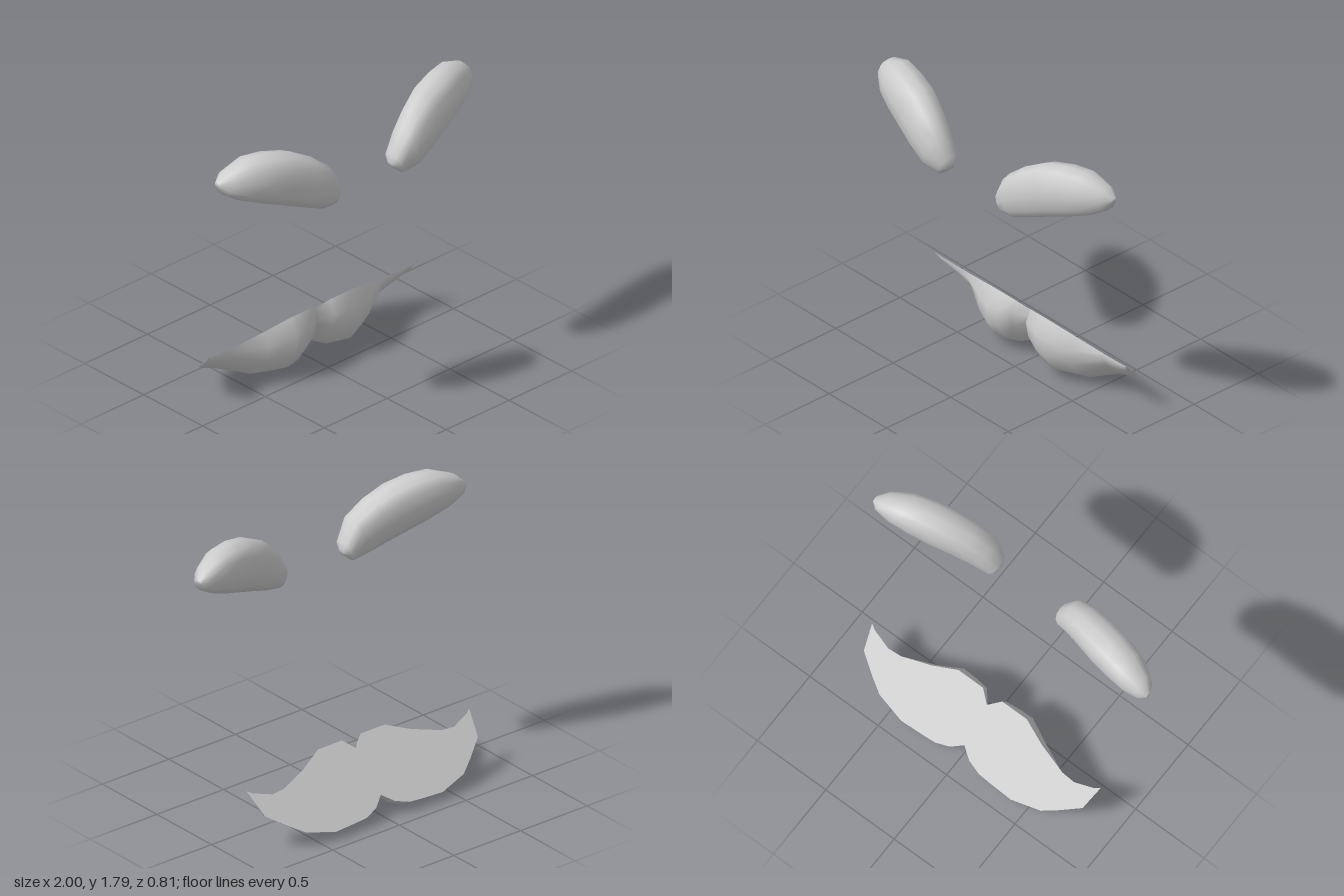
import * as THREE from 'three';
import { mergeVertices } from 'three/addons/utils/BufferGeometryUtils.js';

// Skin a list of cross-sections ordered by rising x; each runs from the top over the front.
function loft(rings, closed) {
  const n = rings[0].length, index = [];
  for (let i = 0; i < rings.length - 1; i++) {
    for (let j = 0; j < (closed ? n : n - 1); j++) {
      const k = (j + 1) % n;
      const a = i * n + j, b = a + n, c = i * n + k, d = c + n;
      index.push(a, c, b, b, c, d);
    }
  }
  let geo = new THREE.BufferGeometry();
  geo.setAttribute('position', new THREE.Float32BufferAttribute(rings.flat(2), 3));
  geo.setIndex(index);
  geo = mergeVertices(geo, 1e-4);
  geo.computeVertexNormals();
  return geo;
}

const mirror = (rings) => rings.map((r) => r.map(([x, y, z]) => [-x, y, z])).reverse();

// Moustache half from the centre to the tip: x, top y, bottom y, depth.
// Its flat back lies on the sloping plane y = z + 0.46.
const BACK = 0.46;
const lip = [
  [0, 0.345, 0.13, 0.07],
  [0.07, 0.4, 0.085, 0.16],
  [0.16, 0.4, 0.06, 0.21],
  [0.25, 0.4, 0.055, 0.225],
  [0.4, 0.345, 0.05, 0.175],
  [0.59, 0.295, 0.09, 0.055],
  [0.68, 0.29, 0.14, 0.04],
  [0.8, 0.322, 0.215, 0.02],
  [0.835, 0.34, 0.338, 0],
];

// Half-ellipse standing on the back plane
function lipRing([x, top, bottom, depth]) {
  const mid = (top + bottom) / 2, half = (top - bottom) / 2, ring = [];
  for (let j = 0; j <= 6; j++) {
    const t = (j / 6) * Math.PI;
    const along = half * Math.cos(t), out = depth * Math.sin(t) * Math.SQRT1_2;
    ring.push([x, mid + along - out, mid - BACK + along + out]);
  }
  return ring;
}

// Eyebrow stations, inner to outer end: top x, top y, bottom x, bottom y, centre z, half thickness
const brow = [
  [0.215, 1.41, 0.225, 1.375, 0.295, 0.025],
  [0.22, 1.46, 0.28, 1.328, 0.298, 0.07],
  [0.29, 1.59, 0.39, 1.345, 0.302, 0.102],
  [0.4, 1.68, 0.52, 1.395, 0.274, 0.118],
  [0.53, 1.75, 0.65, 1.445, 0.237, 0.127],
  [0.67, 1.782, 0.77, 1.49, 0.205, 0.125],
  [0.8, 1.786, 0.89, 1.54, 0.172, 0.112],
  [0.935, 1.735, 0.975, 1.595, 0.14, 0.07],
  [0.998, 1.675, 1.0, 1.65, 0.122, 0.02],
];

// Slightly squared oval between the top and bottom points
function browRing([tx, ty, bx, by, z, thick]) {
  const soft = (v) => Math.sign(v) * Math.abs(v) ** 0.85;
  const ring = [];
  for (let j = 0; j < 12; j++) {
    const t = (j / 12) * Math.PI * 2;
    const k = (1 - soft(Math.cos(t))) / 2;
    ring.push([tx + (bx - tx) * k, ty + (by - ty) * k, z + thick * soft(Math.sin(t))]);
  }
  return ring;
}

// Add a single-point ring at both ends to close the shape
function capped(rings) {
  const point = (ring) => {
    const c = [0, 1, 2].map((a) => ring.reduce((s, p) => s + p[a], 0) / ring.length);
    return ring.map(() => c);
  };
  return [point(rings[0]), ...rings, point(rings[rings.length - 1])];
}

export function createModel() {
  const group = new THREE.Group();
  const hair = new THREE.MeshStandardMaterial({ color: 0xcccccc });
  hair.name = 'hairGrey';
  const add = (name, geo, parent) => {
    const mesh = new THREE.Mesh(geo, hair);
    mesh.name = name;
    parent.add(mesh);
  };

  // Moustache: rounded front and flat sloping back
  const moustache = new THREE.Group();
  moustache.name = 'moustache';
  group.add(moustache);
  const half = lip.map(lipRing);
  const rings = [...mirror(half.slice(1)), ...half];
  add('moustacheFront', loft(rings, false), moustache);
  add('moustacheBack', loft(rings.map((r) => [r[6], r[0]]), false), moustache);

  // Eyebrows
  const browRings = capped(brow.map(browRing));
  add('leftEyebrow', loft(browRings, true), group);
  add('rightEyebrow', loft(mirror(browRings), true), group);
  return group;
}
